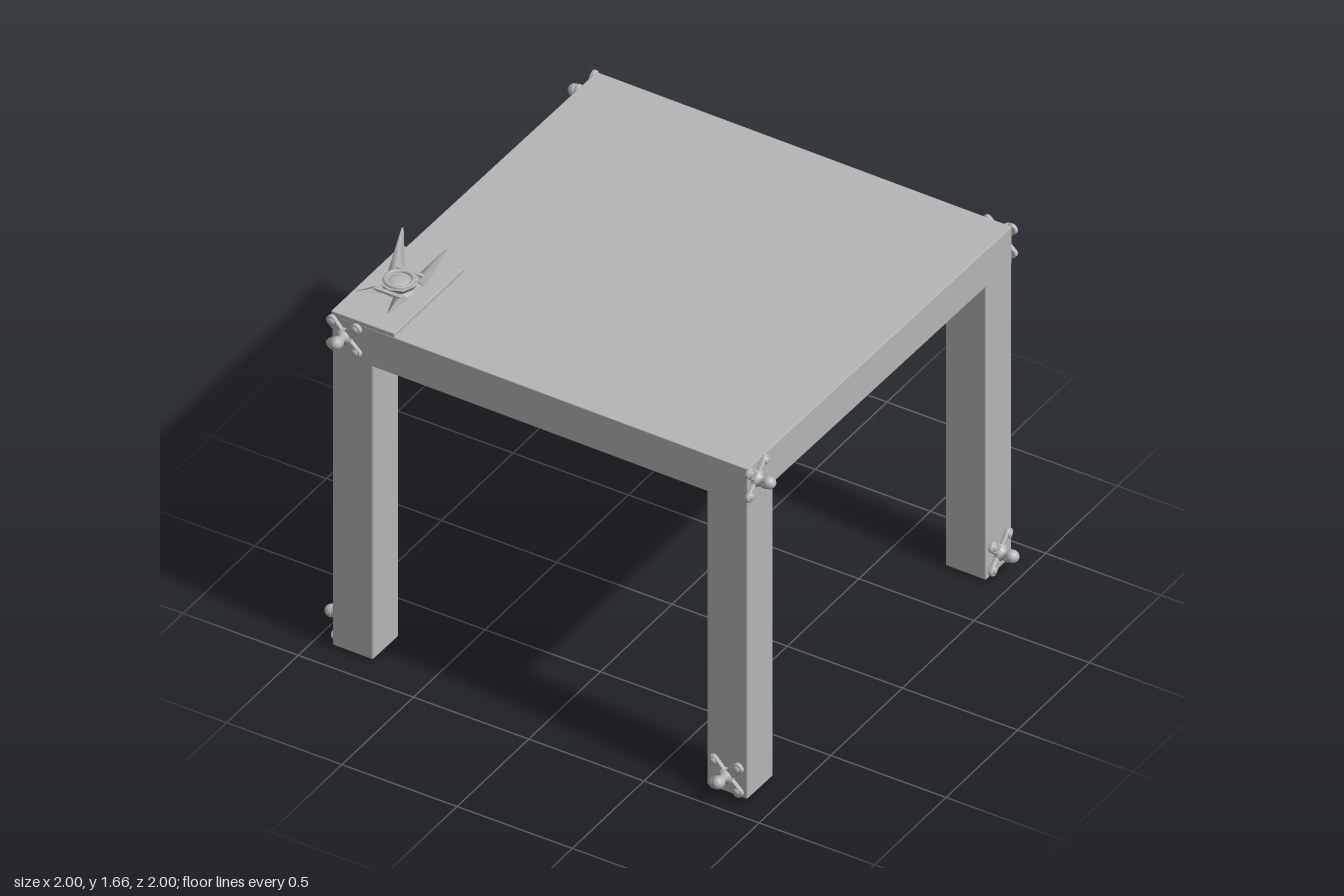
import * as THREE from 'three';
import { RoundedBoxGeometry } from 'three/addons/geometries/RoundedBoxGeometry.js';

const grey = new THREE.MeshStandardMaterial({ color: 0xb6b6b6 });
grey.name = 'plain grey';

function add(parent, name, geometry, x = 0, y = 0, z = 0) {
  const mesh = new THREE.Mesh(geometry, grey);
  mesh.name = name;
  mesh.position.set(x, y, z);
  parent.add(mesh);
  return mesh;
}

// Four-armed star outline with flared, rounded arm ends
function starShape(reach, waist, flare) {
  const shape = new THREE.Shape();
  const at = (a, along, across) => [
    Math.cos(a) * along - Math.sin(a) * across,
    Math.sin(a) * along + Math.cos(a) * across,
  ];
  for (let i = 0; i < 4; i++) {
    const a = Math.PI / 4 + (i * Math.PI) / 2;
    const start = at(a, waist * 1.5, -waist);
    if (i === 0) shape.moveTo(...start);
    else shape.lineTo(...start);
    shape.lineTo(...at(a, reach * 0.82, -flare));
    shape.quadraticCurveTo(...at(a, reach, -flare), ...at(a, reach, 0));
    shape.quadraticCurveTo(...at(a, reach, flare), ...at(a, reach * 0.82, flare));
    shape.lineTo(...at(a, waist * 1.5, waist));
  }
  shape.closePath();
  return shape;
}

const starGeometry = new THREE.ExtrudeGeometry(starShape(0.093, 0.015, 0.018), {
  depth: 0.01, bevelEnabled: true, bevelThickness: 0.004, bevelSize: 0.004, bevelSegments: 1, curveSegments: 4,
});

// Round knob on a short waisted stem, turned to point along +z
const knobGeometry = new THREE.LatheGeometry(
  [[0.034, 0], [0.032, 0.018], [0.017, 0.026], [0.016, 0.038], [0.024, 0.046], [0.026, 0.06], [0.022, 0.074], [0.012, 0.083], [0, 0.086]]
    .map(([r, y]) => new THREE.Vector2(r, y)), 14);
knobGeometry.rotateX(Math.PI / 2);

// Star plate with a knob, fixed to a face that looks along +z
function makeFitting(name) {
  const fitting = new THREE.Group();
  fitting.name = name;
  add(fitting, 'starPlate', starGeometry, 0, 0, 0.003);
  add(fitting, 'knob', knobGeometry);
  // Raised pads on the arm ends
  for (let i = 0; i < 4; i++) {
    const a = Math.PI / 4 + (i * Math.PI) / 2;
    const pad = add(fitting, 'armPad', new THREE.SphereGeometry(0.016, 8, 6), Math.cos(a) * 0.073, Math.sin(a) * 0.073, 0.016);
    pad.scale.z = 0.5;
  }
  return fitting;
}

// Flat tapering blade running from one point to another
function addBlade(parent, from, to, width) {
  const a = new THREE.Vector3(...from);
  const b = new THREE.Vector3(...to);
  const dir = b.clone().sub(a);
  const geometry = new THREE.CylinderGeometry(0.004, width, dir.length(), 4);
  geometry.scale(1, 1, 0.35);
  const blade = add(parent, 'blade', geometry);
  blade.position.copy(a).addScaledVector(dir, 0.5);
  // The flat side of the blade leans toward the middle
  const up = dir.normalize();
  const side = new THREE.Vector3(0, 1, 0).cross(up).normalize();
  const face = side.clone().cross(up);
  blade.quaternion.setFromRotationMatrix(new THREE.Matrix4().makeBasis(side, up, face));
}

export function createModel() {
  const model = new THREE.Group();
  model.name = 'table';

  // Table frame, turned very slightly
  const frame = new THREE.Group();
  frame.name = 'tableFrame';
  frame.rotation.y = -0.011;
  model.add(frame);
  add(frame, 'tableTop', new RoundedBoxGeometry(1.815, 0.168, 1.815, 1, 0.004), 0, 1.433, 0);

  // Legs with round foot pads
  for (const sx of [-1, 1]) {
    for (const sz of [-1, 1]) {
      add(frame, 'leg', new RoundedBoxGeometry(0.177, 1.345, 0.177, 1, 0.006), sx * 0.818, 0.6875, sz * 0.818);
      const foot = new THREE.Group();
      foot.name = 'foot';
      foot.position.set(sx * 0.818, 0, sz * 0.818);
      frame.add(foot);
      add(foot, 'footPad', new THREE.CylinderGeometry(0.08, 0.072, 0.014, 16), 0, 0.011, 0);
      add(foot, 'footDisc', new THREE.CylinderGeometry(0.04, 0.035, 0.008, 16), 0, 0.004, 0);
    }
  }

  // Each side carries one fitting on the top edge and one low on a leg
  for (let i = 0; i < 4; i++) {
    const side = new THREE.Group();
    side.name = 'sideFittings';
    side.rotation.y = (i * Math.PI) / 2;
    frame.add(side);
    const upper = makeFitting('upperFitting');
    upper.position.set(-0.85, 1.445, 0.907);
    const lower = makeFitting('lowerFitting');
    lower.position.set(0.818, 0.095, 0.907);
    side.add(upper, lower);
  }

  // Thin mat on one corner
  add(model, 'mat', new RoundedBoxGeometry(0.275, 0.02, 0.49, 1, 0.004), -0.783, 1.525, 0.655);

  // Small four-bladed ornament standing on the mat
  const ornament = new THREE.Group();
  ornament.name = 'ornament';
  ornament.position.set(-0.78, 1.535, 0.65);
  model.add(ornament);
  add(ornament, 'base', new THREE.CylinderGeometry(0.05, 0.062, 0.02, 12), 0, 0.01, 0);
  add(ornament, 'body', new THREE.CylinderGeometry(0.075, 0.058, 0.024, 8), 0, 0.028, 0);
  const rim = add(ornament, 'rim', new THREE.TorusGeometry(0.054, 0.008, 6, 16), 0, 0.042, 0);
  rim.rotation.x = Math.PI / 2;
  const dome = add(ornament, 'dome', new THREE.SphereGeometry(0.042, 14, 8), 0, 0.036, 0);
  dome.scale.y = 0.25;
  addBlade(ornament, [-0.05, 0.008, -0.06], [-0.1, 0.127, -0.185], 0.034);
  addBlade(ornament, [0.05, 0.008, -0.06], [0.092, 0.1, -0.185], 0.034);
  addBlade(ornament, [-0.045, 0.012, 0.055], [-0.09, 0.045, 0.15], 0.03);
  addBlade(ornament, [0.045, 0.012, 0.055], [0.09, 0.06, 0.22], 0.03);
  for (const s of [-1, 1]) {
    add(ornament, 'crossBar', new RoundedBoxGeometry(0.12, 0.012, 0.018, 1, 0.004), 0, 0.03, s * 0.078);
  }

  return model;
}
